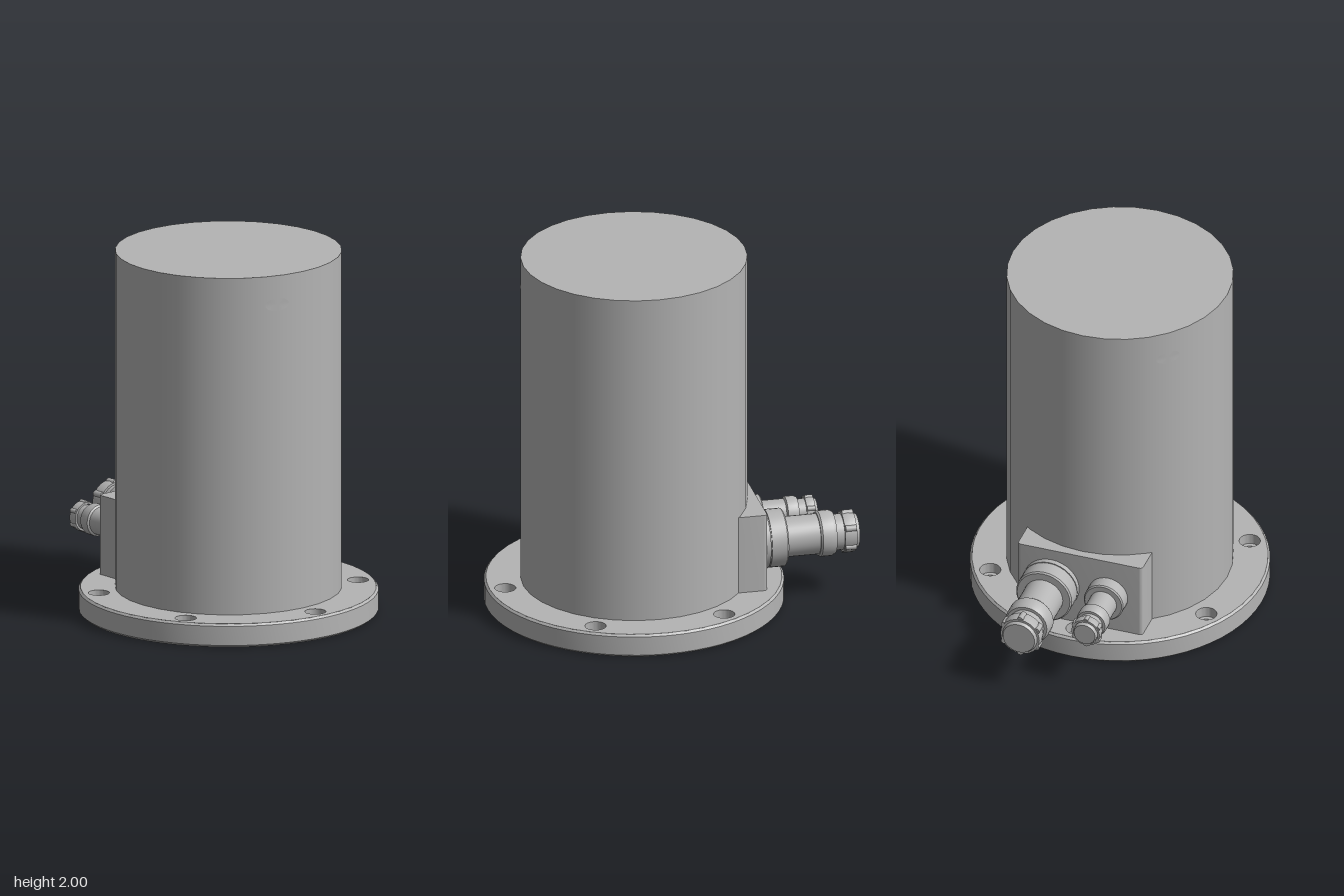
import * as THREE from 'three';
import { toCreasedNormals } from 'three/addons/utils/BufferGeometryUtils.js';

const CX = 0.19;          // axis of the housing
const FLANGE_H = 0.13;
const BODY_R = 0.61;

const metal = new THREE.MeshStandardMaterial({ color: 0xb4b4b4 });
metal.name = 'grey metal';

function part(name, geometry) {
  const mesh = new THREE.Mesh(geometry, metal);
  mesh.name = name;
  return mesh;
}

function lathe(points, segments) {
  const geo = new THREE.LatheGeometry(points.map(([r, y]) => new THREE.Vector2(r, y)), segments);
  return toCreasedNormals(geo, 0.5);
}

// Round plate with bolt holes, small inner holes and one passage under the block
function plate(boltRadius, y0, y1) {
  const shape = new THREE.Shape().absarc(0, 0, 0.796, 0, Math.PI * 2);
  const hole = (x, z, r) => shape.holes.push(new THREE.Path().absarc(x, -z, r, 0, Math.PI * 2, true));
  for (let i = 0; i < 6; i++) {
    const a = i * Math.PI / 3;
    hole(0.71 * Math.cos(a), 0.71 * Math.sin(a), boltRadius);
  }
  for (let i = 0; i < 4; i++) {
    const a = Math.PI / 6 + i * Math.PI / 2;
    hole(0.57 * Math.cos(a), 0.57 * Math.sin(a), 0.02);
  }
  hole(-0.62, 0.25, 0.025);
  const geo = new THREE.ExtrudeGeometry(shape, { depth: y1 - y0, bevelEnabled: false, curveSegments: 24 });
  geo.rotateX(-Math.PI / 2).translate(0, y0, 0);
  return toCreasedNormals(geo, 0.5);
}

// Oval patch wrapped onto the housing wall
function wallPort(angle) {
  const geo = new THREE.CircleGeometry(1, 28);
  const p = geo.attributes.position;
  for (let i = 0; i < p.count; i++) {
    const a = angle - p.getX(i) * 0.07 / BODY_R;
    const r = BODY_R + 0.002;
    p.setXYZ(i, r * Math.cos(a), 1.84 + p.getY(i) * 0.036, r * Math.sin(a));
  }
  geo.computeVertexNormals();
  return part('wallPort', geo);
}

// Cable connector pointing along -x, with a clamp ring near its tip
function connector(name, z, profile, clamp) {
  const group = new THREE.Group();
  group.name = name;
  group.add(part('connectorShell', lathe(profile, 32)));

  const { at, radius, width } = clamp;
  const h = width / 2;
  group.add(part('clampRing', lathe([
    [radius * 0.8, at - h], [radius * 0.92, at - h], [radius * 0.96, at],
    [radius * 0.92, at + h], [radius * 0.8, at + h],
  ], 24)));
  for (let i = 0; i < 6; i++) {
    const a = i * Math.PI / 3;
    const lug = part('clampLug', new THREE.CylinderGeometry(h * 0.55, h * 0.55, width * 0.9, 10));
    lug.position.set(radius * 0.88 * Math.cos(a), at, radius * 0.88 * Math.sin(a));
    group.add(lug);
  }
  group.rotation.z = Math.PI / 2;
  group.position.set(-0.465, 0.35, z);
  return group;
}

export function createModel() {
  const model = new THREE.Group();
  model.name = 'flangedHousing';

  // Flange: narrow holes below, wide counterbores above, chamfered rim
  const base = new THREE.Group();
  base.name = 'flange';
  base.position.x = CX;
  base.add(part('flangeLower', plate(0.034, 0, 0.07)));
  base.add(part('flangeUpper', plate(0.057, 0.07, FLANGE_H)));
  base.add(part('flangeRim', lathe([[0.795, 0], [0.807, 0.012], [0.807, FLANGE_H - 0.012], [0.795, FLANGE_H]], 64)));
  model.add(base);

  // Housing: open underneath, closed by the flange
  const body = new THREE.Group();
  body.name = 'housing';
  body.position.x = CX;
  const wall = new THREE.CylinderGeometry(BODY_R, BODY_R, 2 - FLANGE_H, 32, 1, true);
  wall.translate(0, (2 + FLANGE_H) / 2, 0);
  body.add(part('housingWall', wall));
  const lid = new THREE.CircleGeometry(BODY_R, 32);
  lid.rotateX(-Math.PI / 2).translate(0, 2, 0);
  body.add(part('housingTop', lid));
  body.add(wallPort(0.274), wallPort(0.274 + Math.PI * 2 / 3));
  model.add(body);

  // Connector block with softened outer corners
  const c = 0.02;
  const outline = new THREE.Shape()
    .moveTo(-0.30, -0.355).lineTo(-0.30, 0.355)
    .lineTo(-0.465 + c, 0.355).quadraticCurveTo(-0.465, 0.355, -0.465, 0.355 - c)
    .lineTo(-0.465, -0.355 + c).quadraticCurveTo(-0.465, -0.355, -0.465 + c, -0.355);
  const block = new THREE.ExtrudeGeometry(outline, { depth: 0.44, bevelEnabled: false, curveSegments: 4 });
  block.rotateX(-Math.PI / 2).translate(0, FLANGE_H, 0);
  model.add(part('connectorBlock', toCreasedNormals(block, 0.6)));

  // Large and small connectors: [radius, distance from the block]
  model.add(connector('largeConnector', -0.162, [
    [0.158, 0], [0.158, 0.03], [0.15, 0.03], [0.15, 0.036], [0.158, 0.036],
    [0.158, 0.122], [0.15, 0.13], [0.11, 0.13], [0.11, 0.315],
    [0.118, 0.315], [0.125, 0.325], [0.125, 0.385], [0.115, 0.405],
    [0.098, 0.405], [0.098, 0.52], [0.09, 0.535], [0, 0.535],
  ], { at: 0.483, radius: 0.12, width: 0.066 }));
  model.add(connector('smallConnector', 0.16, [
    [0.112, 0], [0.112, 0.073], [0.105, 0.08], [0.076, 0.08], [0.076, 0.21],
    [0.087, 0.217], [0.087, 0.265], [0.08, 0.28],
    [0.066, 0.28], [0.066, 0.375], [0.06, 0.385], [0, 0.385],
  ], { at: 0.345, radius: 0.087, width: 0.048 }));

  return model;
}
